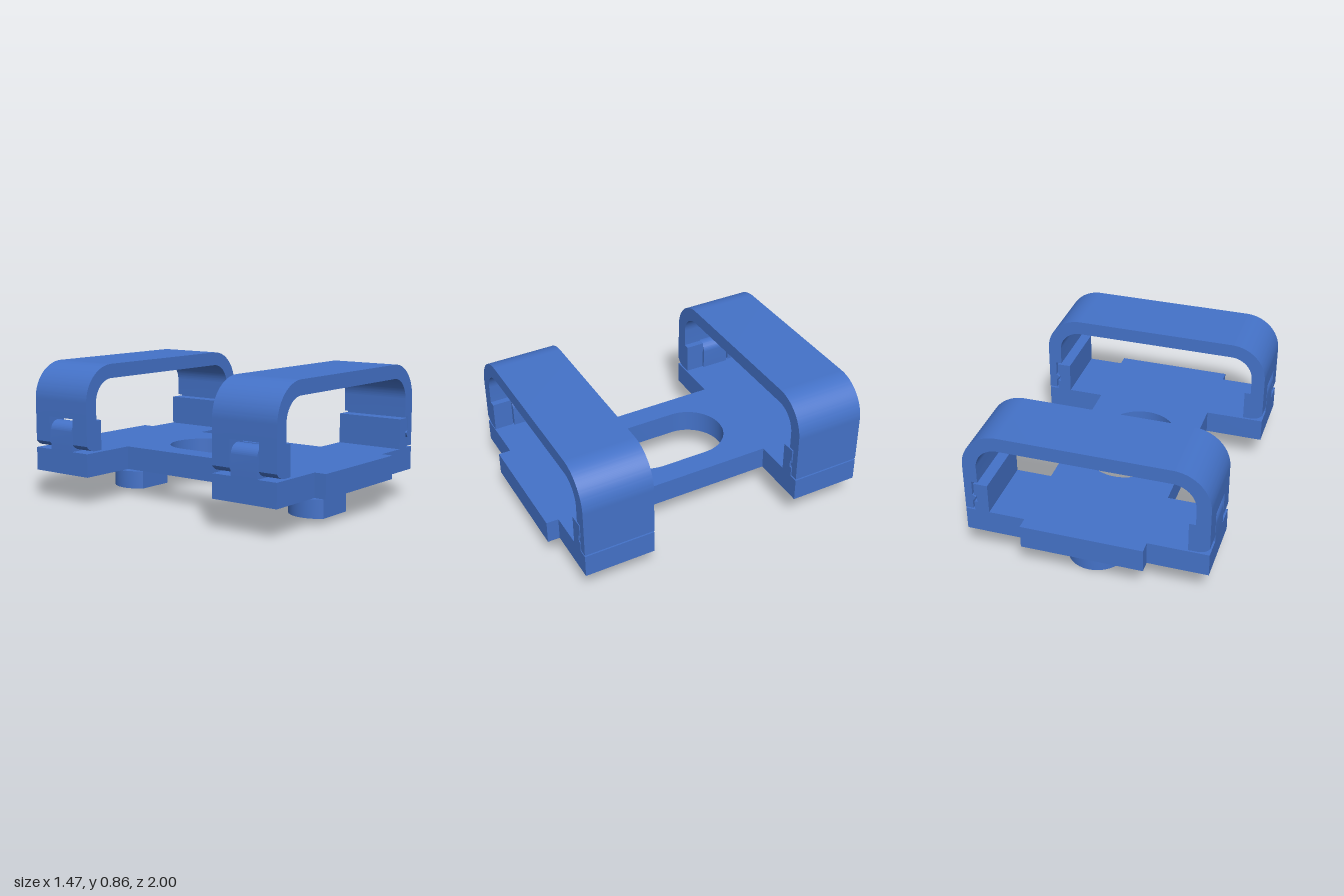
import * as THREE from 'three';
import { toCreasedNormals } from 'three/addons/utils/BufferGeometryUtils.js';

const PLATE_BOTTOM = 0.18, PLATE_TOP = 0.325;
const CLAMP_Z = 0.705, CLAMP_DEPTH = 0.44, NOTCH = 0.2;

export function createModel() {
  const model = new THREE.Group();
  const blue = new THREE.MeshStandardMaterial({ color: 0x4472c8 });

  const extrude = (shape, depth) => toCreasedNormals(
    new THREE.ExtrudeGeometry(shape, { depth, bevelEnabled: false, curveSegments: 20 }), 0.5);

  const add = (parent, name, geometry) => {
    const mesh = new THREE.Mesh(geometry, blue);
    mesh.name = name;
    parent.add(mesh);
    return mesh;
  };

  // Profile in x/y, pushed along z around a centre
  const across = (parent, name, shape, depth, z = 0) =>
    add(parent, name, extrude(shape, depth).translate(0, 0, z - depth / 2));

  // Outline in x/-z, raised from y0 to y1
  const upward = (parent, name, shape, y0, y1) =>
    add(parent, name, extrude(shape, y1 - y0).rotateX(-Math.PI / 2).translate(0, y0, 0));

  const polygon = (points) => new THREE.Shape(points.map(([x, y]) => new THREE.Vector2(x, y)));

  // Base plate with four ears and an oblong slot
  const half = [
    [0.37, -1], [0.37, -0.925], [0.735, -0.925], [0.735, -0.485], [0.37, -0.485],
    [0.37, 0.485], [0.735, 0.485], [0.735, 0.925], [0.37, 0.925], [0.37, 1],
  ];
  const plate = polygon([...half, ...half.map(([x, y]) => [-x, -y])]);
  const slot = new THREE.Path();
  slot.absarc(0, 0.15, 0.225, 0, Math.PI, false);
  slot.absarc(0, -0.15, 0.225, Math.PI, Math.PI * 2, false);
  slot.closePath();
  plate.holes.push(slot);
  upward(model, 'basePlate', plate, PLATE_BOTTOM, PLATE_TOP);

  // Round outline that runs to a right-angled point at the front
  const teardrop = (r) => {
    const s = new THREE.Shape();
    s.moveTo(0, -r * Math.SQRT2);
    s.absarc(0, 0, r, -Math.PI / 4, Math.PI * 1.25, false);
    s.closePath();
    return s;
  };

  // Strap: arch with a stepped snap leg at +x
  const strap = new THREE.Shape();
  strap.moveTo(-0.735, 0.53);
  strap.lineTo(-0.65, 0.53);
  strap.lineTo(-0.65, 0.632);
  strap.absarc(-0.51, 0.632, 0.14, Math.PI, Math.PI / 2, true);
  strap.absarc(0.51, 0.632, 0.14, Math.PI / 2, 0, true);
  [[0.65, 0.525], [0.688, 0.525], [0.688, 0.432], [0.668, 0.417], [0.688, 0.39],
    [0.688, 0.335], [0.735, 0.335]].forEach(([x, y]) => strap.lineTo(x, y));
  strap.absarc(0.51, 0.635, 0.225, 0, Math.PI / 2, false);
  strap.absarc(-0.51, 0.635, 0.225, Math.PI / 2, Math.PI, false);
  strap.closePath();

  // Hinge lug with a rounded outer heel
  const lug = new THREE.Shape();
  lug.moveTo(-0.735, 0.53);
  lug.lineTo(-0.735, 0.37);
  lug.quadraticCurveTo(-0.71, 0.335, -0.66, 0.335);
  [[-0.61, 0.335], [-0.61, 0.522], [-0.65, 0.522], [-0.65, 0.53]].forEach(([x, y]) => lug.lineTo(x, y));
  lug.closePath();

  // Hinge post with a round top
  const post = new THREE.Shape();
  post.moveTo(-0.735, PLATE_TOP);
  post.lineTo(-0.61, PLATE_TOP);
  post.absarc(-0.6725, 0.445, 0.0625, 0, Math.PI, false);
  post.closePath();

  // Latch wall with a groove for the snap bump
  const latch = polygon([[0.59, PLATE_TOP], [0.678, PLATE_TOP], [0.678, 0.385], [0.66, 0.385],
    [0.66, 0.432], [0.676, 0.432], [0.676, 0.513], [0.59, 0.513]]);

  for (const side of [1, -1]) {
    const clamp = new THREE.Group();
    clamp.name = side > 0 ? 'frontClamp' : 'backClamp';
    clamp.position.z = side * CLAMP_Z;
    model.add(clamp);

    across(clamp, 'strap', strap, CLAMP_DEPTH);
    const lugDepth = (CLAMP_DEPTH - NOTCH) / 2;
    for (const s of [1, -1]) across(clamp, 'hingeLug', lug, lugDepth, s * (NOTCH + lugDepth) / 2);
    across(clamp, 'hingePost', post, NOTCH - 0.02);
    across(clamp, 'latchWall', latch, CLAMP_DEPTH);
    // Pin joining the post to both lugs
    add(clamp, 'hingePin', new THREE.CylinderGeometry(0.03, 0.03, NOTCH + 0.04, 20)
      .rotateX(Math.PI / 2).translate(-0.6725, 0.445, 0));

    upward(clamp, 'footNeck', teardrop(0.1), 0.115, PLATE_BOTTOM);
    upward(clamp, 'footHead', teardrop(0.175), 0, 0.115);
  }
  return model;
}
